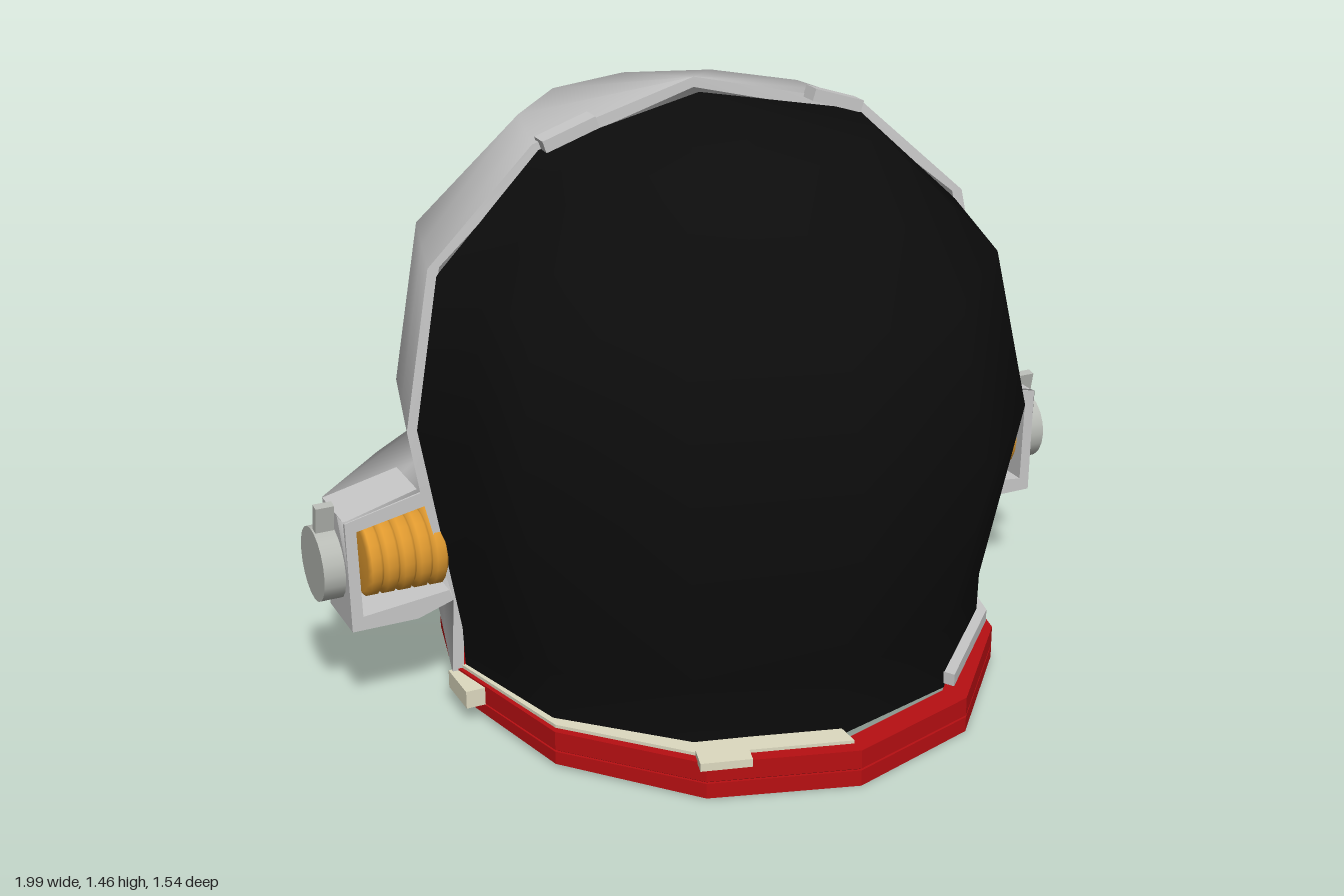
import * as THREE from 'three';

const mat = (name, color, side = THREE.FrontSide) => {
  const m = new THREE.MeshStandardMaterial({ color, side });
  m.name = name;
  return m;
};

// Smooth surface through rows of points, each row with the same point count
function surface(rows, flip) {
  const n = rows[0].length, idx = [];
  for (let r = 0; r < rows.length - 1; r++) for (let c = 0; c < n - 1; c++) {
    const a = r * n + c, b = a + 1, d = a + n, e = d + 1;
    if (flip) idx.push(a, d, b, b, d, e);
    else idx.push(a, b, d, b, e, d);
  }
  const g = new THREE.BufferGeometry();
  g.setAttribute('position', new THREE.Float32BufferAttribute(rows.flat(2), 3));
  g.setIndex(idx);
  g.computeVertexNormals();
  return g;
}

// Half of a twelve-sided outline, from +x round to -x (the second point halves the first side)
const quarter = [[1, 0], [0.933, 0.25], [0.866, 0.5], [0.5, 0.866], [0, 1]];
const mirrorPlan = q => [...q, ...q.slice(0, 4).reverse().map(([x, z]) => [-x, z])];
const halfPlan = mirrorPlan(quarter);

// ring = [side x, side y, side z, middle z, middle y, optional plan]
function halfRing([rx, ys, z0, zm, ym, plan]) {
  return halfPlan.map(([u, v], i) => {
    const y = ys + (ym - ys) * v;
    return plan ? [plan[i][0], y, plan[i][1]] : [rx * u, y, z0 + (zm - z0) * v];
  });
}

// Elliptical ring sector with 30 degree sides, angles counted in sides from +x toward +z
function ringArc(rx, rz, w, y0, y1, s0, s1) {
  const pt = (i, k) => new THREE.Vector2((rx - k) * Math.cos(i * Math.PI / 6), (rz - k) * Math.sin(i * Math.PI / 6));
  const outer = [], inner = [];
  for (let i = s0; i <= s1; i++) { outer.push(pt(i, 0)); inner.push(pt(i, w)); }
  let shape;
  if (s1 - s0 === 12) {
    shape = new THREE.Shape(outer.slice(0, 12));
    shape.holes.push(new THREE.Path(inner.slice(0, 12)));
  } else shape = new THREE.Shape([...outer, ...inner.reverse()]);
  const g = new THREE.ExtrudeGeometry(shape, { depth: y1 - y0, bevelEnabled: false });
  g.rotateX(Math.PI / 2);
  g.translate(0, y1, 0);
  return g;
}

export function createModel() {
  const model = new THREE.Group();
  model.name = 'spaceHelmet';
  const shellMat = mat('light grey shell', 0xc8c8c8, THREE.DoubleSide);
  const visorMat = mat('black visor', 0x0c0c0c, THREE.DoubleSide);
  const red = mat('red collar', 0xb80f12);
  const darkRed = mat('dark red groove', 0x6a080a);
  const gold = mat('gold coil', 0xe09a30);
  const cream = mat('cream trim', 0xdedac0);
  const knobMat = mat('grey knob', 0xb8bbb5);
  const add = (name, geo, m, parent = model) => {
    const mesh = new THREE.Mesh(geo, m);
    mesh.name = name;
    parent.add(mesh);
    return mesh;
  };

  // Visor: faceted front half dome
  add('visor', surface([
    [0.665, 0.08, 0, 0.67, 0.08], [0.67, 0.2, 0, 0.67, 0.24], [0.76, 0.73, 0, 0.77, 0.63],
    [0.69, 1.09, -0.02, 0.67, 1.04], [0.42, 1.345, -0.05, 0.36, 1.34], [0, 1.43, -0.07, -0.07, 1.43],
  ].map(halfRing), true), visorMat);

  // Shell: back half dome with a band flaring out into the ear housings
  const bandLow = mirrorPlan([[0.94, 0], [0.93, -0.19], [0.72, -0.4], [0.39, -0.66], [0, -0.705]]);
  const bandHigh = mirrorPlan([[0.95, 0], [0.94, -0.19], [0.73, -0.41], [0.405, -0.7], [0, -0.757]]);
  const neck = [[0.7, 0.08, 0, -0.715, 0.08], [0.69, 0.28, 0, -0.7, 0.25]];
  const dome = [
    [0.76, 0.575, 0, -0.735, 0.56], [0.785, 0.73, 0, -0.765, 0.69], [0.71, 1.11, -0.02, -0.71, 1.11],
    [0.435, 1.36, -0.05, -0.51, 1.38], [0, 1.46, -0.1, -0.1, 1.46],
  ];
  const band = [[0, 0.25, 0, 0, 0.265, bandLow], [0, 0.53, 0, 0, 0.5, bandHigh]];
  add('backShell', surface([...neck, ...band, ...dome].map(halfRing)), shellMat);

  // Inner lining and the front rim joining it to the shell
  const outerRings = [...neck, ...dome];
  const innerRings = outerRings.map(([x, y, z, zm, ym]) => {
    const drop = y > 1.2 ? 0.025 : 0;
    return [Math.max(x - 0.028, 0), y - drop, z, Math.min(zm + 0.028, z), ym - drop];
  });
  add('lining', surface(innerRings.map(halfRing), true), shellMat);
  const arch = rings => [
    ...rings.map(([x, y, z]) => [x, y, z]),
    ...rings.slice(0, -1).reverse().map(([x, y, z]) => [-x, y, z]),
  ];
  add('shellRim', surface([arch(outerRings), arch(innerRings)]), shellMat);

  // Collar: two red rings with a recessed groove, the lower one lifting at the sides
  const lower = ringArc(0.685, 0.77, 0.06, 0, 0.04, 0, 12);
  const p = lower.attributes.position;
  for (let i = 0; i < p.count; i++)
    if (p.getY(i) < 0.02) p.setY(i, 0.016 * (1 - Math.abs(p.getZ(i)) / 0.77));
  add('collarLower', lower, red);
  add('collarGroove', ringArc(0.678, 0.763, 0.05, 0.038, 0.047, 0, 12), darkRed);
  add('collarUpper', ringArc(0.685, 0.77, 0.065, 0.045, 0.092, 0, 12), red);

  // Seals around the foot of the visor
  add('creamSeal', ringArc(0.675, 0.735, 0.06, 0.085, 0.1, 3, 6), cream);
  add('greySeal', ringArc(0.69, 0.7, 0.045, 0.092, 0.123, 0, 2), shellMat);
  add('sideCatch', new THREE.BoxGeometry(0.07, 0.045, 0.12), cream).position.set(-0.672, 0.065, 0.05);
  const tab = add('frontCatch', new THREE.BoxGeometry(0.12, 0.02, 0.06), cream);
  tab.position.set(-0.3, 0.096, 0.67);
  tab.rotation.y = -0.27;

  // Ribbed coil profile
  const rib = [];
  for (let i = 0; i < 5; i++) {
    const y = i * 0.04, r = 0.102 - i * 0.001;
    rib.push([r - 0.012, y], [r, y + 0.008], [r, y + 0.03], [r - 0.012, y + 0.038]);
  }
  const ribPoints = [[0, 0], ...rib, [0, 0.198]].map(([x, y]) => new THREE.Vector2(x, y - 0.1));

  for (const s of [1, -1]) {
    const ear = new THREE.Group();
    ear.name = s > 0 ? 'leftEar' : 'rightEar';
    model.add(ear);

    // Housing walls, open at the front
    const wall = new THREE.Shape([
      [0.69, 0.28], [0.78, 0.25], [0.943, 0.25], [0.947, 0.53], [0.76, 0.573],
      [0.74, 0.54], [0.92, 0.505], [0.915, 0.285], [0.7, 0.308],
    ].map(([x, y]) => new THREE.Vector2(x * s, y)));
    const walls = new THREE.ExtrudeGeometry(wall, { depth: 0.17, bevelEnabled: false });
    add('earHousing', walls.translate(0, 0, -0.168), shellMat, ear);
    add('earHousingBack', new THREE.BoxGeometry(0.22, 0.24, 0.01), shellMat, ear).position.set(s * 0.81, 0.4, -0.17);

    // Gold coil inside the housing
    const coil = add('coil', new THREE.LatheGeometry(ribPoints, 20), gold, ear);
    coil.position.set(s * 0.8, 0.403, -0.082);
    coil.rotation.z = -s * Math.PI / 2;

    // Knob with its lever
    const knob = add('knob', new THREE.CylinderGeometry(0.092, 0.092, 0.06, 20), knobMat, ear);
    knob.position.set(s * 0.967, 0.392, -0.11);
    knob.rotation.z = -s * Math.PI / 2;
    const lever = add('knobLever', new THREE.BoxGeometry(0.045, 0.1, 0.022), knobMat, ear);
    lever.position.set(s * 0.97, 0.5, -0.092);
    lever.rotation.x = 0.2;

    // Rim clip and red edge strip behind the visor
    const clip = add('rimClip', new THREE.BoxGeometry(0.14, 0.03, 0.05), shellMat, ear);
    clip.position.set(s * 0.35, 1.38, -0.045);
    clip.rotation.z = -s * 0.32;
    add('edgeStrip', new THREE.BoxGeometry(0.01, 0.27, 0.03), red, ear).position.set(s * 0.652, 0.215, -0.018);
  }
  return model;
}
